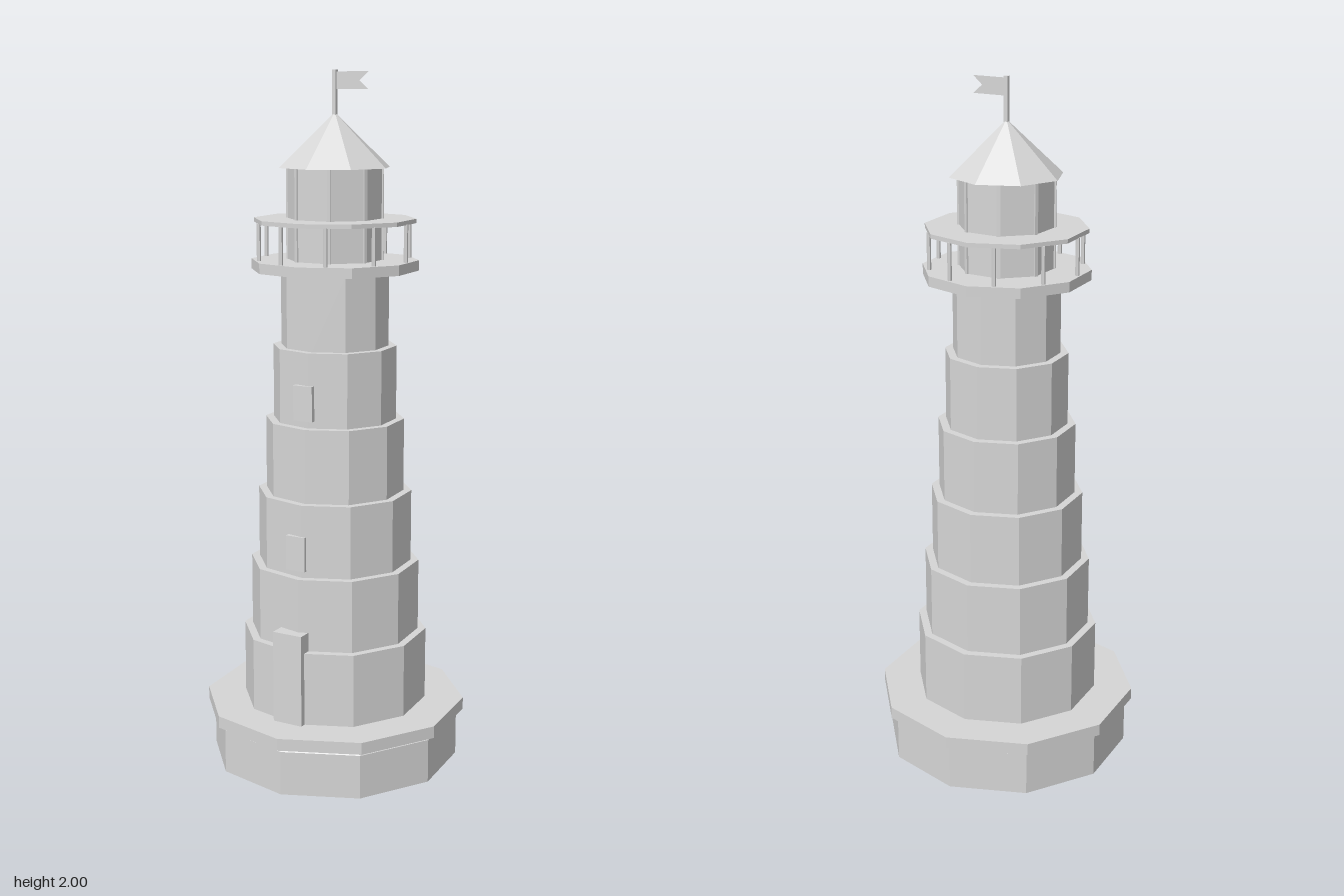
import * as THREE from 'three';

export function createModel() {
  const model = new THREE.Group();
  model.name = 'lighthouse';
  const stone = new THREE.MeshStandardMaterial({ color: 0xd6d6d6, side: THREE.DoubleSide });
  stone.name = 'pale grey';
  stone.flatShading = true;

  const TURN = THREE.MathUtils.degToRad(4.5); // slight twist shared by the ten-sided parts
  const STEP = Math.PI / 5;

  function add(name, geometry, x = 0, y = 0, z = 0, parent = model) {
    const mesh = new THREE.Mesh(geometry, stone);
    mesh.name = name;
    mesh.position.set(x, y, z);
    parent.add(mesh);
    return mesh;
  }
  // Ten-sided drum between two heights
  function drum(name, y0, y1, rBottom, rTop = rBottom, open = false) {
    const g = new THREE.CylinderGeometry(rTop, rBottom, y1 - y0, 10, 1, open, TURN);
    return add(name, g, 0, (y0 + y1) / 2, 0);
  }

  // Foundation: hollow drum, open below, with a narrowed neck under the wide slab
  drum('foundationDrum', 0, 0.128, 0.364, 0.364, true);
  drum('foundationNeck', 0.128, 0.14, 0.364, 0.35, true);
  drum('foundationSlab', 0.14, 0.175, 0.384);

  // Tower: six stepped drums
  const levels = [0.175, 0.388, 0.598, 0.808, 1.02, 1.232, 1.447];
  for (let i = 0; i < 6; i++) {
    drum('towerSection' + (i + 1), levels[i], levels[i + 1], 0.27 - i * 0.0231);
  }

  // Door and windows on the front
  add('door', new THREE.BoxGeometry(0.092, 0.268, 0.06), 0, 0.309, 0.246);
  add('lowerWindow', new THREE.BoxGeometry(0.06, 0.1, 0.04), 0, 0.667, 0.208);
  add('upperWindow', new THREE.BoxGeometry(0.06, 0.1, 0.04), 0, 1.09, 0.164);

  // Gallery: floor, posts and the thin plate they carry
  drum('galleryFloor', 1.447, 1.476, 0.239);
  drum('galleryRail', 1.58, 1.592, 0.231);
  const posts = new THREE.Group();
  posts.name = 'galleryPosts';
  model.add(posts);
  for (let i = 0; i < 10; i++) {
    const a = TURN + (i + 0.5) * STEP;
    add('galleryPost', new THREE.CylinderGeometry(0.006, 0.006, 0.106, 6),
      0.217 * Math.sin(a), 1.528, 0.217 * Math.cos(a), posts);
  }

  // Lantern room with eight sides and slim corner bars
  add('lanternRoom', new THREE.CylinderGeometry(0.135, 0.135, 0.26, 8, 1, false, Math.PI / 8), 0, 1.605, 0);
  for (let i = 0; i < 8; i++) {
    const a = (i + 0.5) * Math.PI / 4;
    const bar = add('lanternBar', new THREE.BoxGeometry(0.01, 0.26, 0.01),
      0.133 * Math.sin(a), 1.605, 0.133 * Math.cos(a));
    bar.rotation.y = a;
  }

  // Roof, square pole and swallow-tailed flag
  add('roof', new THREE.ConeGeometry(0.161, 0.152, 8), 0, 1.809, 0);
  add('flagPole', new THREE.BoxGeometry(0.012, 0.13, 0.012), 0, 1.935, 0);
  const flag = new THREE.Shape();
  flag.moveTo(0, 1.995);
  flag.lineTo(0.106, 1.995);
  flag.lineTo(0.078, 1.971);
  flag.lineTo(0.106, 1.947);
  flag.lineTo(0, 1.947);
  flag.closePath();
  add('flag', new THREE.ShapeGeometry(flag));

  return model;
}
